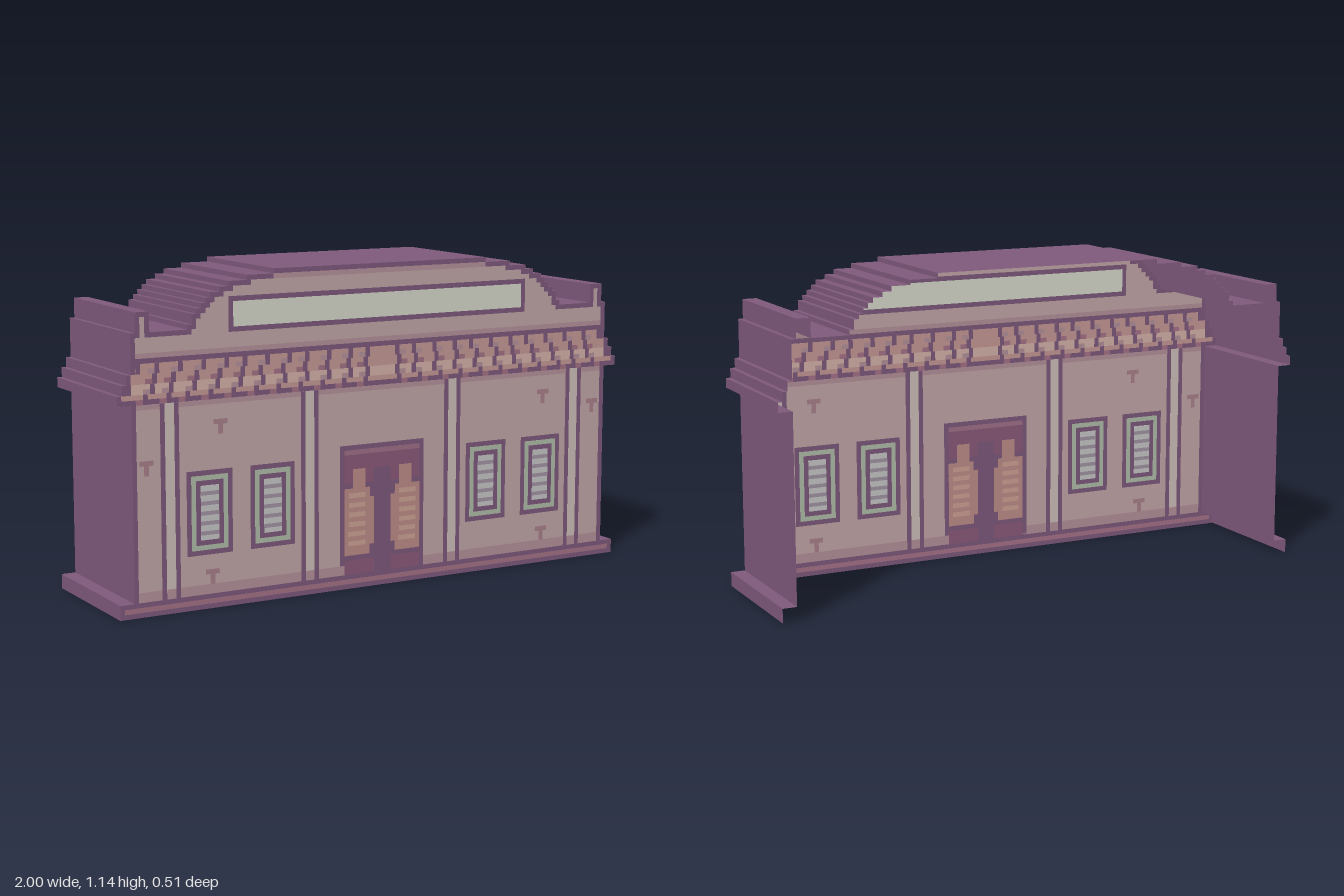
import * as THREE from 'three';

// All plan measurements are on a square grid of 118 cells across the width.
const P = 2 / 118;
const DEPTH = 30 * P;
const FACE_Z = DEPTH / 2 - 0.0025;
const C = {
  plum: 0x805a7d, wall: 0xc6a9ab, wallShade: 0xb9949d, pilaster: 0xd2c3bd,
  tile: 0xc99c99, tileLight: 0xd9b5ac, base: 0xa8748a, sign: 0xdadccf,
  frame: 0xb4c2ae, pane: 0xd6d5d3, slat: 0xa597a6, doorway: 0x8d5a7c,
  lintel: 0xa3728a, leaf: 0xc08f8b, leafLight: 0xd2a597, mark: 0xad838e,
};
const materials = {};
const paint = (color) => (materials[color] ??= new THREE.MeshStandardMaterial({ color, side: THREE.DoubleSide }));

// Stepped gable: [half width, top]
const GABLE = [[44, 57], [43, 59], [42, 60], [41, 61], [40, 62], [39, 63], [37, 64], [35, 65], [31, 66], [25, 67]];

function outline() {
  const half = [[59, 0], [59, 3], [56, 3], [56, 42], [59, 42], [59, 44], [58, 44], [58, 46], [57, 46], [57, 48],
    [56, 48], [56, 56], [55, 56], [55, 60], [52, 60], [52, 56], [44, 56]];
  let y = 56;
  for (const [w, top] of GABLE) {
    if (w !== 44) half.push([w, y]);
    half.push([w, top]);
    y = top;
  }
  const mirrored = half.map(([x, h]) => [-x, h]).reverse();
  return [...half, ...mirrored].map(([x, h]) => new THREE.Vector2(x * P, h * P));
}

// Walls and roof swept straight back from the outline; back and floor stay open
function shellGeometry(points) {
  const f = DEPTH / 2, pos = [];
  for (let i = 0; i < points.length - 1; i++) {
    const a = points[i], b = points[i + 1];
    pos.push(a.x, a.y, f, a.x, a.y, -f, b.x, b.y, f);
    pos.push(b.x, b.y, f, a.x, a.y, -f, b.x, b.y, -f);
  }
  const g = new THREE.BufferGeometry();
  g.setAttribute('position', new THREE.Float32BufferAttribute(pos, 3));
  g.computeVertexNormals();
  return g;
}

// Thin painted panel, showing on both faces of the facade; higher layers cover lower ones
function panel(parent, name, x0, y0, x1, y1, color, layer) {
  const g = new THREE.BoxGeometry((x1 - x0) * P, (y1 - y0) * P, layer * 0.0008);
  const m = new THREE.Mesh(g, paint(color));
  m.name = name;
  m.position.set((x0 + x1) / 2 * P, (y0 + y1) / 2 * P, FACE_Z);
  parent.add(m);
}
function pair(parent, name, x0, y0, x1, y1, color, layer) {
  panel(parent, name, x0, y0, x1, y1, color, layer);
  panel(parent, name, -x1, y0, -x0, y1, color, layer);
}
function section(parent, name) {
  const g = new THREE.Group();
  g.name = name;
  parent.add(g);
  return g;
}

export function createModel() {
  const model = new THREE.Group();
  model.name = 'building';
  const points = outline();

  const shell = new THREE.Mesh(shellGeometry(points), paint(C.plum));
  shell.name = 'wallsAndRoof';
  model.add(shell);

  const facade = new THREE.Mesh(new THREE.ShapeGeometry(new THREE.Shape(points)), paint(C.plum));
  facade.name = 'facade';
  facade.position.z = FACE_Z;
  model.add(facade);

  // Main wall and base step
  const wall = section(model, 'frontWall');
  panel(wall, 'wallFace', -55, 3, 55, 42, C.wall, 1);
  panel(wall, 'wallFoot', -55, 3, 55, 5, C.wallShade, 2);
  panel(wall, 'eaveShadow', -55, 41, 55, 42, C.wallShade, 2);
  panel(wall, 'baseStep', -58, 1, 58, 2, C.base, 1);
  for (const x of [15, 46]) {
    pair(wall, 'pilasterEdge', x, 3, x + 4, 42, C.plum, 3);
    pair(wall, 'pilaster', x + 1, 3, x + 3, 42, C.pilaster, 4);
    pair(wall, 'pilasterFoot', x + 1, 3, x + 3, 5, C.wallShade, 5);
  }
  for (const [x, y] of [[-37, 37], [40, 37], [-53, 30], [53, 34], [-39, 7], [40, 7]]) {
    panel(wall, 'crack', x - 1.5, y, x + 1.5, y + 1, C.mark, 3);
    panel(wall, 'crack', x - 0.5, y - 2, x + 0.5, y, C.mark, 3);
  }

  // Parapet with stepped gable, end posts and blank sign board
  const parapet = section(model, 'parapet');
  panel(parapet, 'parapetFace', -55, 51, 55, 55, C.wall, 1);
  panel(parapet, 'parapetFoot', -55, 51, 55, 52, C.wallShade, 2);
  for (const [w, top] of GABLE) panel(parapet, 'gableFace', 1 - w, 52, w - 1, top - 1, C.wall, 1);
  panel(parapet, 'gableCap', -25, 65, 25, 66, C.wallShade, 2);
  pair(parapet, 'endPost', 53, 55, 54, 59, C.wall, 1);
  panel(parapet, 'signFrame', -35, 55, 35, 62, C.plum, 3);
  panel(parapet, 'signBoard', -34, 56, 34, 61, C.sign, 4);

  // Tiled eave: four courses, the joints fanning outwards on the way down
  const eave = section(model, 'tiledEave');
  for (let row = 0; row < 4; row++) {
    const y = 48 - row * 2, w = 55 + row;
    panel(eave, 'tileCourse', -w, Math.max(y, 43), w, y + 2, row === 2 ? C.tileLight : C.tile, 1);
    for (let i = 0; i < 12; i++) {
      const x = Math.round((2.5 + i * 4.7) * (1 + row * 0.02)) + (row % 2 ? 0.5 : 0);
      if (x + 1 > w) continue;
      pair(eave, 'tileJoint', x, y, x + 1, y + 2, C.plum, 3);
      pair(eave, 'tileLip', x + 1, y, Math.min(x + 2.5, w), y + 1, row % 2 ? C.base : C.wallShade, 2);
    }
  }

  // Shuttered windows
  const windows = section(model, 'windows');
  for (const x of [20.5, 34.5]) {
    const rings = [C.plum, C.frame, C.plum, C.pane];
    rings.forEach((c, i) => pair(windows, i < 3 ? 'windowFrame' : 'windowPane', x + i, 11 + i, x + 10 - i, 28 - i, c, 2 + i));
    for (let y = 15; y < 25; y += 2) pair(windows, 'slat', x + 3, y, x + 7, y + 0.8, C.slat, 6);
  }

  // Doorway with a pair of louvred swing doors
  const door = section(model, 'doorway');
  panel(door, 'doorFrame', -10, 3, 10, 30, C.plum, 2);
  panel(door, 'lintel', -9, 28, 9, 29, C.lintel, 3);
  panel(door, 'opening', -9, 3, 9, 28, C.doorway, 3);
  panel(door, 'centreGap', -2, 3, 2, 25, C.plum, 4);
  pair(door, 'swingDoorEdge', 2, 6, 9, 22, C.plum, 4);
  pair(door, 'swingDoor', 3, 7, 9, 21, C.leaf, 5);
  pair(door, 'swingDoorTop', 4, 21, 7, 25, C.leaf, 5);
  pair(door, 'swingDoorShoulder', 2, 9, 3, 19, C.leaf, 5);
  for (let y = 9; y < 21; y += 2) pair(door, 'louvre', 4, y, 8, y + 1, C.leafLight, 6);

  return model;
}
